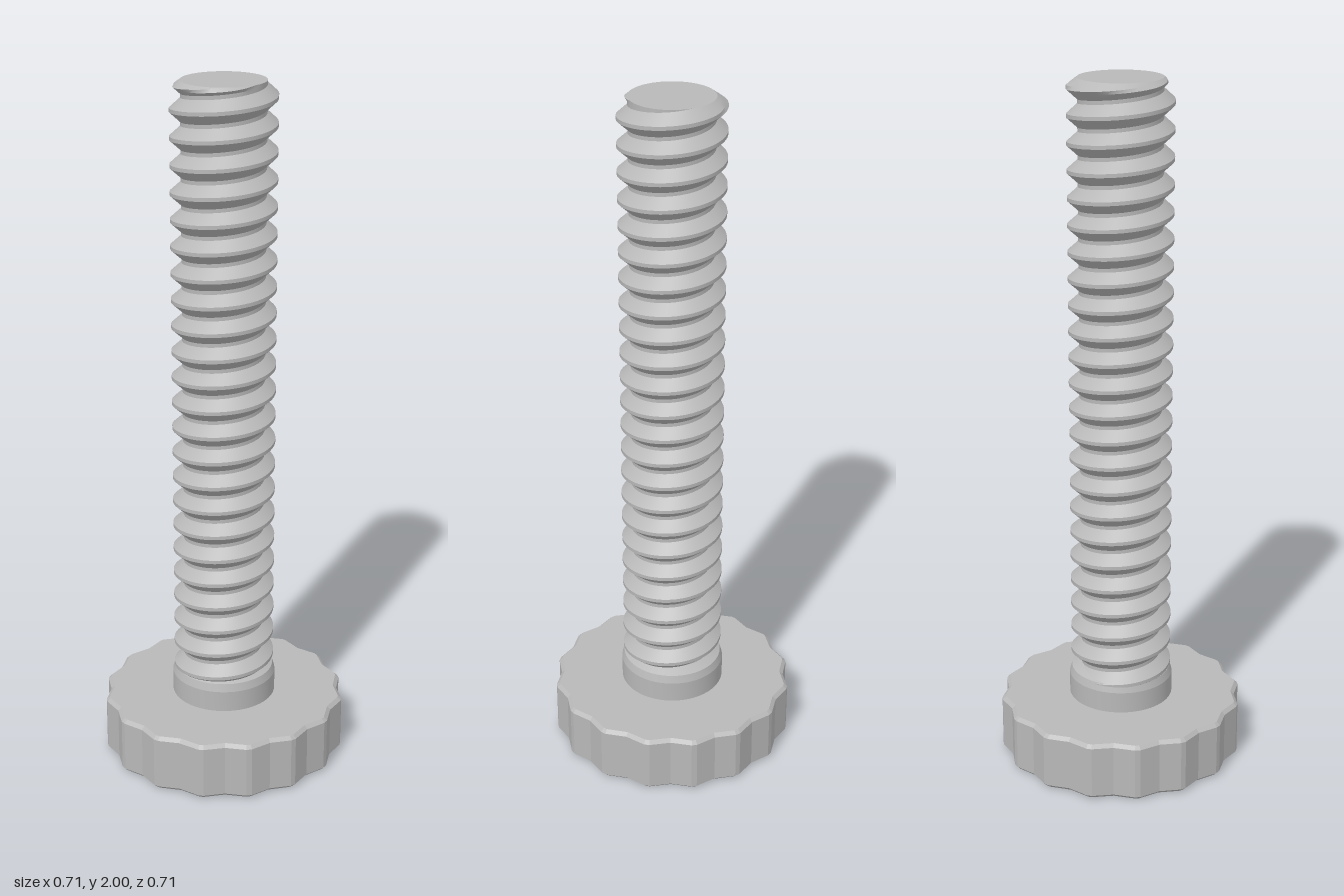
import * as THREE from 'three';
import { toCreasedNormals } from 'three/addons/utils/BufferGeometryUtils.js';

const PITCH = 0.0755, CREST = 0.147, ROOT = 0.117;
const BOTTOM = 0.235, TOP = 2;

// Thread radius at a phase (0..1) along one pitch; the crest is centred on 0.
function threadRadius(phase) {
  const d = Math.abs(phase - Math.round(phase));
  const k = THREE.MathUtils.clamp((d - 0.07) / 0.36, 0, 1);
  return THREE.MathUtils.lerp(CREST, ROOT, k);
}

// Right-handed helical surface, clipped flat at both ends and chamfered at the top.
function threadGeometry() {
  const segs = 64;
  const steps = [-0.07, 0.07, 0.19, 0.31, 0.43, 0.57, 0.69, 0.81];
  const rows = [];
  const first = Math.floor(BOTTOM / PITCH) - 2, last = Math.ceil(TOP / PITCH) + 1;
  for (let turn = first; turn <= last; turn++) {
    for (const s of steps) rows.push(turn + s);
  }
  const phase0 = 1.955 / PITCH;
  const shift = phase0 - Math.floor(phase0);
  const point = (row, j) => {
    const a = (j / segs) * Math.PI * 2, lead = j / segs + shift;
    const y = THREE.MathUtils.clamp((row + lead) * PITCH, BOTTOM, TOP);
    const r = Math.min(threadRadius(y / PITCH - lead), ROOT + (TOP - y) * 1.4);
    return new THREE.Vector3(r * Math.cos(a), y, -r * Math.sin(a));
  };
  const pos = [];
  const addTriangle = (a, b, c) => {
    const area = b.clone().sub(a).cross(c.clone().sub(a)).length();
    if (area > 1e-9) for (const v of [a, b, c]) pos.push(v.x, v.y, v.z);
  };
  for (let i = 0; i < rows.length - 1; i++) {
    for (let j = 0; j < segs; j++) {
      const a = point(rows[i], j), b = point(rows[i], j + 1);
      const c = point(rows[i + 1], j + 1), d = point(rows[i + 1], j);
      addTriangle(a, b, c);
      addTriangle(a, c, d);
    }
  }
  const geo = new THREE.BufferGeometry();
  geo.setAttribute('position', new THREE.Float32BufferAttribute(pos, 3));
  return toCreasedNormals(geo, 0.5);
}

// Scalloped grip outline: sixteen blunt tips with valleys between them.
function headGeometry() {
  const shape = new THREE.Shape(), count = 16, step = (Math.PI * 2) / count;
  const pts = [];
  for (let i = 0; i < count; i++) {
    for (const [offset, r] of [[-0.022, 0.356], [0.022, 0.356], [step / 2, 0.339]]) {
      const a = i * step + offset;
      pts.push(new THREE.Vector2(r * Math.cos(a), r * Math.sin(a)));
    }
  }
  shape.setFromPoints(pts);
  const bevel = 0.01, height = 0.172;
  const geo = new THREE.ExtrudeGeometry(shape, {
    depth: height - 2 * bevel, bevelEnabled: true, bevelSegments: 1,
    bevelThickness: bevel, bevelSize: bevel, bevelOffset: -bevel,
  });
  return geo.rotateX(-Math.PI / 2).translate(0, bevel, 0);
}

export function createModel() {
  const group = new THREE.Group();
  const steel = new THREE.MeshStandardMaterial({ color: 0xb8b8b8 });
  steel.name = 'grey steel';
  const add = (name, geo) => {
    const mesh = new THREE.Mesh(geo, steel);
    mesh.name = name;
    group.add(mesh);
  };

  add('head', headGeometry());

  // Plain collar with a tapered shoulder running into the thread
  const collar = [[0.152, 0.165], [0.152, 0.235], [0.145, 0.258], [0.112, 0.275]]
    .map(([r, y]) => new THREE.Vector2(r, y));
  add('collar', toCreasedNormals(new THREE.LatheGeometry(collar, 64), 0.25));

  add('threadedShaft', threadGeometry());

  // Flat end of the shaft
  add('shaftEnd', new THREE.CircleGeometry(ROOT, 64).rotateX(-Math.PI / 2).translate(0, TOP, 0));

  return group;
}
